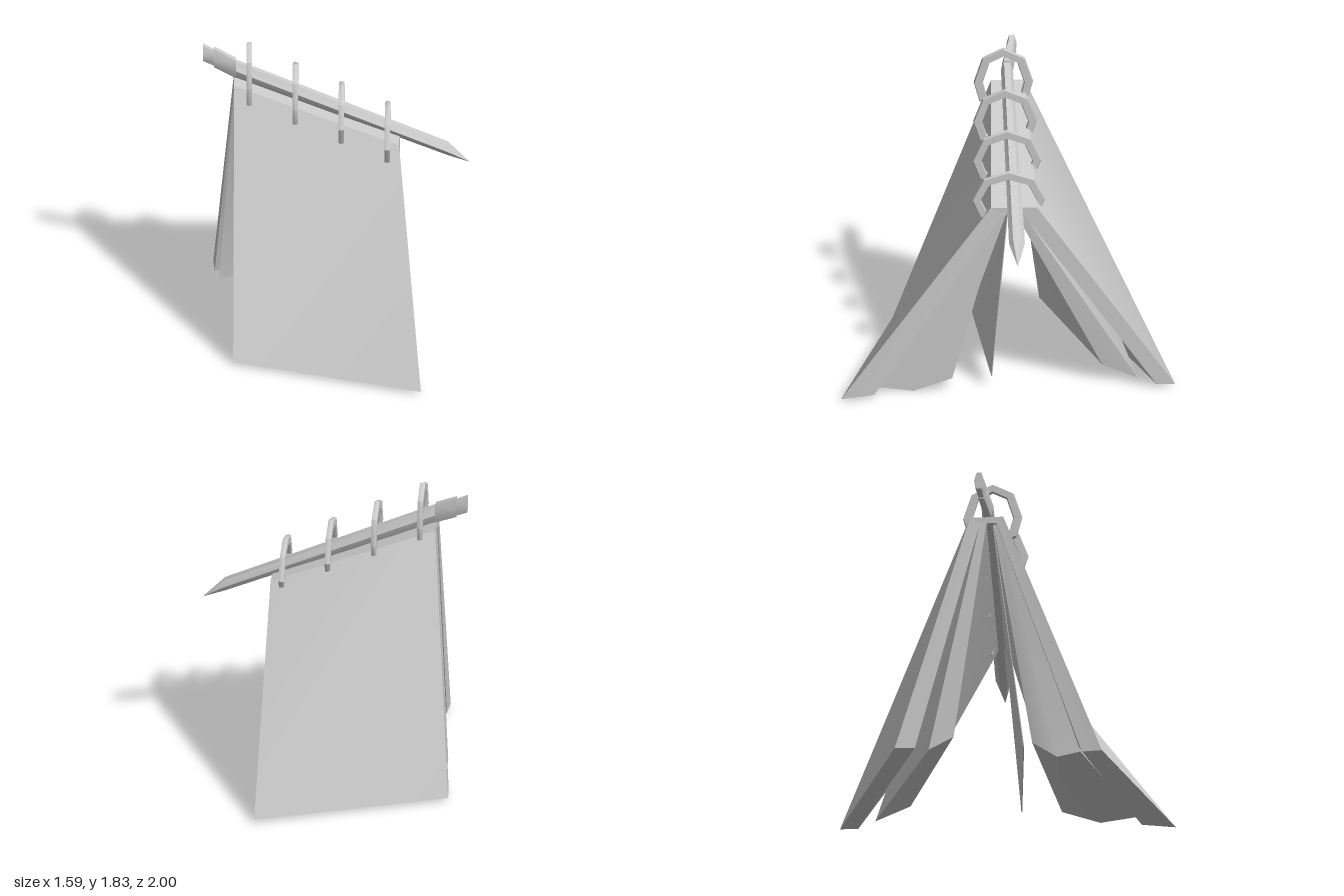
import * as THREE from 'three';
import { toCreasedNormals } from 'three/addons/utils/BufferGeometryUtils.js';

const material = new THREE.MeshStandardMaterial({ color: 0xcccccc, side: THREE.DoubleSide });

// Closed solid through matching cross-sections (corners counter-clockwise seen from the first end).
// foldFromTop picks which way the twisted side faces are folded.
function loft(name, sections, foldFromTop = true) {
  const pos = [], last = sections[sections.length - 1], n = last.length;
  const tri = (a, b, c) => pos.push(...a, ...b, ...c);
  for (let s = 0; s < sections.length - 1; s++) {
    const A = sections[s], B = sections[s + 1];
    for (let i = 0; i < n; i++) {
      const j = (i + 1) % n;
      if ((A[i][1] > A[j][1]) === foldFromTop) {
        tri(A[i], B[i], B[j]);
        tri(A[i], B[j], A[j]);
      } else {
        tri(A[i], B[i], A[j]);
        tri(A[j], B[i], B[j]);
      }
    }
  }
  for (let i = 1; i < n - 1; i++) {
    tri(sections[0][0], sections[0][i], sections[0][i + 1]);
    tri(last[0], last[i + 1], last[i]);
  }
  const geo = new THREE.BufferGeometry();
  geo.setAttribute('position', new THREE.Float32BufferAttribute(pos, 3));
  const mesh = new THREE.Mesh(toCreasedNormals(geo, 0.7), material);
  mesh.name = name;
  return mesh;
}

// Upright six-sided section of the pencil with its own half height and half width
function hex(x, y, z, h, w) {
  return Array.from({ length: 6 }, (_, i) => {
    const a = i * Math.PI / 3;
    return [x, y + h * Math.sin(a) / Math.sin(Math.PI / 3), z - w * Math.cos(a)];
  });
}

// Faceted binder ring: a flat band with ridged edges swept over an open arch
function ring(x, bottom, top, spread) {
  const half = [[0.05, 0], [0.12, 0.07], [0.15, 0.38], [0.105, 0.78]];
  const band = [[0.016, -0.022], [0.016, 0.022], [0, 0.028], [-0.016, 0.022], [-0.016, -0.022], [0, -0.028]];
  const path = [...half, [0, 0.93], ...half.slice().reverse().map(([z, s]) => [-z, s])]
    .map(([z, s]) => [z * spread - 0.01, bottom + s * (top - bottom)]);
  const sections = path.map(([z, y], i) => {
    const p = path[Math.max(i - 1, 0)], q = path[Math.min(i + 1, path.length - 1)];
    const len = Math.hypot(q[0] - p[0], q[1] - p[1]);
    const nz = (q[1] - p[1]) / len, ny = -(q[0] - p[0]) / len;
    return band.map(([dx, r]) => [x + dx, y + ny * r, z + nz * r]);
  });
  return loft('binderRing', sections);
}

export function createModel() {
  const g = new THREE.Group();
  g.name = 'standingNotebook';

  // Covers and spine
  g.add(loft('frontCover', [
    [[0.375, 1.2, 0.1], [0.513, 0.02, 1], [0.46, 0.02, 0.8], [0.375, 1.16, 0.03]],
    [[-0.61, 1.58, 0.06], [-0.61, 0.02, 0.65], [-0.6, 0.02, 0.53], [-0.61, 1.54, 0.02]],
  ]));
  g.add(loft('backCover', [
    [[0.375, 1.16, -0.09], [0.375, 0.02, -0.89], [0.375, 0.02, -1], [0.375, 1.2, -0.175]],
    [[-0.61, 1.54, -0.08], [-0.73, 0.02, -0.46], [-0.74, 0.02, -0.58], [-0.61, 1.58, -0.14]],
  ], false));
  g.add(loft('spine', [
    [[0.375, 1.2, 0.1], [0.375, 1.16, 0.04], [0.375, 1.16, -0.1], [0.375, 1.2, -0.175]],
    [[-0.61, 1.58, 0.06], [-0.61, 1.54, 0.03], [-0.61, 1.54, -0.09], [-0.61, 1.58, -0.14]],
  ]));

  // Page blocks and one loose sheet
  g.add(loft('frontPages', [
    [[0.37, 1.16, 0.04], [0.37, 0.24, 0.6], [0.37, 0.03, 0.78], [0.37, 0, 0.56],
      [0.37, 0.08, 0.33], [0.37, 0.35, 0.28], [0.37, 1.15, 0.01]],
    [[-0.6, 1.54, 0.03], [-0.58, 0.24, 0.4], [-0.58, 0.03, 0.52], [-0.58, 0, 0.38],
      [-0.58, 0.1, 0.23], [-0.58, 0.35, 0.19], [-0.6, 1.54, 0]],
  ]));
  g.add(loft('backPages', [
    [[0.36, 1.15, -0.05], [0.28, 0.11, -0.57], [0.28, 0.02, -0.78], [0.36, 1.16, -0.09]],
    [[-0.61, 1.54, -0.04], [-0.7, 0.1, -0.23], [-0.7, 0.02, -0.38], [-0.61, 1.54, -0.08]],
  ], false));
  g.add(loft('loosePage', [
    [[0.33, 1.14, 0], [0.33, 0.07, 0.095], [0.33, 0.07, 0.09], [0.33, 1.14, -0.005]],
    [[-0.59, 1.54, 0], [-0.55, 0.09, 0.18], [-0.55, 0.09, 0.175], [-0.59, 1.54, -0.005]],
  ]));

  // Four rings along the sloping spine, getting wider and lower
  for (let i = 0; i < 4; i++) {
    const t = i / 3;
    g.add(ring(-0.52 + 0.825 * t, 1.475 - 0.36 * t, 1.83 - 0.43 * t, 1 + 0.28 * t));
  }

  // Pencil resting inside the rings
  const pencil = new THREE.Group();
  pencil.name = 'pencil';
  pencil.add(loft('pencilBody', [
    hex(0.79, 1.012, -0.045, 0.002, 0.002),
    hex(0.665, 1.1, -0.045, 0.034, 0.048),
    hex(-0.605, 1.648, -0.035, 0.052, 0.036),
  ]));
  pencil.add(loft('pencilFerrule', [
    hex(-0.6, 1.65, -0.035, 0.06, 0.038),
    hex(-0.73, 1.71, -0.062, 0.062, 0.034),
  ]));
  pencil.add(loft('pencilEraser', [
    hex(-0.72, 1.702, -0.062, 0.05, 0.03),
    hex(-0.796, 1.736, -0.07, 0.052, 0.03),
  ]));
  g.add(pencil);
  return g;
}
